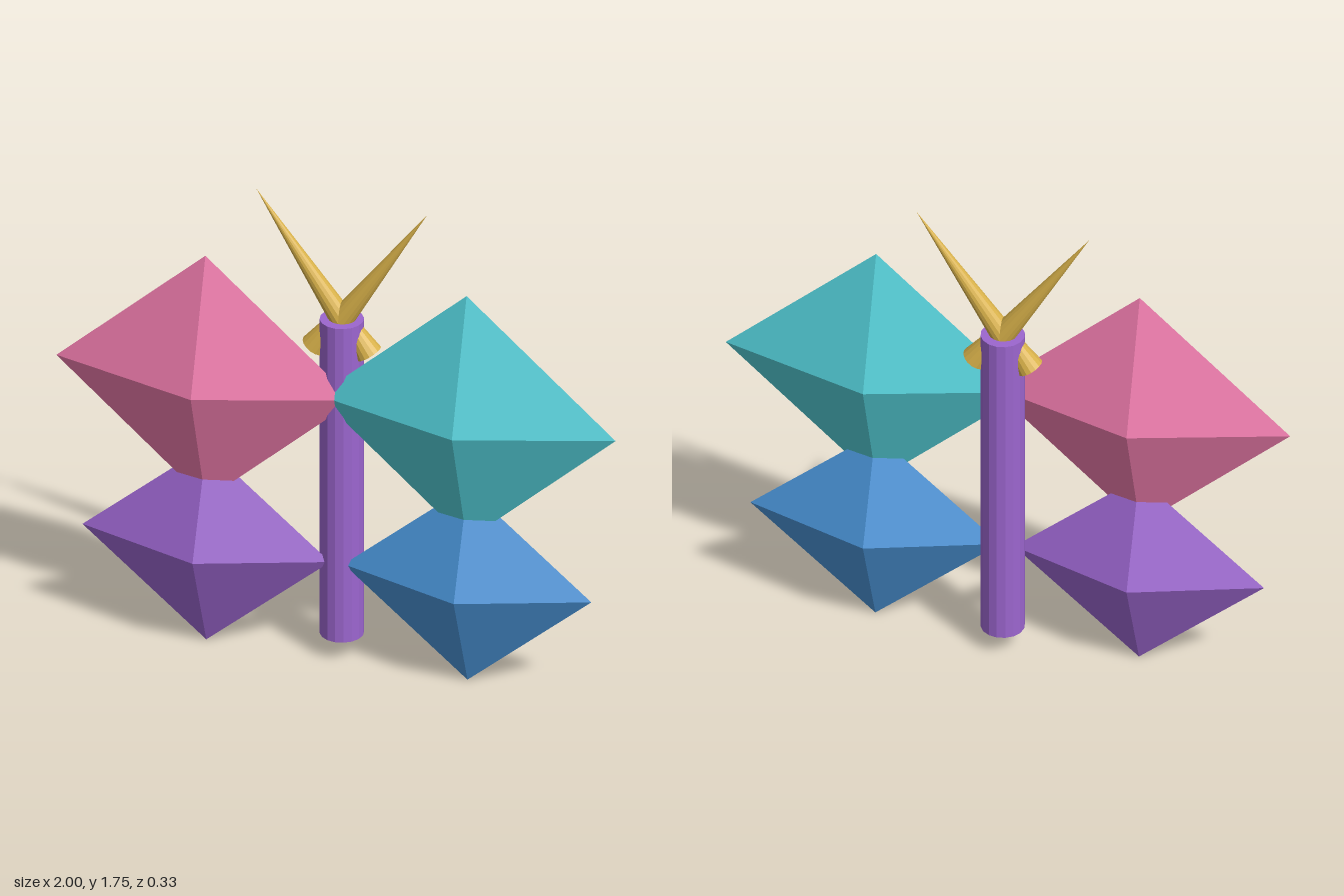
import * as THREE from 'three';

const material = (color) => new THREE.MeshStandardMaterial({ color, flatShading: true });
const BODY_Z = -0.065;

function addMesh(group, name, geometry, mat, x, y, z) {
  const mesh = new THREE.Mesh(geometry, mat);
  mesh.name = name;
  mesh.position.set(x, y, z);
  group.add(mesh);
  return mesh;
}

// Tapered rod between two points, radius r0 at the start and r1 at the end
function addRod(group, name, mat, start, end, r0, r1) {
  const dir = end.clone().sub(start);
  const mid = start.clone().add(end).multiplyScalar(0.5);
  const geometry = new THREE.CylinderGeometry(r1, r0, dir.length(), 16);
  const rod = addMesh(group, name, geometry, mat, mid.x, mid.y, mid.z);
  rod.quaternion.setFromUnitVectors(new THREE.Vector3(0, 1, 0), dir.normalize());
}

export function createModel() {
  const model = new THREE.Group();
  model.name = 'butterfly';
  const purple = material(0x9c66cf);
  const gold = material(0xd9b24a);

  // Upright body
  addMesh(model, 'body', new THREE.CylinderGeometry(0.076, 0.076, 1.22, 16), purple, 0, 0.69, BODY_Z);

  const sides = [
    { name: 'left', s: 1, upper: material(0x52ccd6), lower: material(0x4a94d8) },
    { name: 'right', s: -1, upper: material(0xec7aab), lower: purple },
  ];
  for (const { name, s, upper, lower } of sides) {
    // Wings: stretched octahedra
    const top = new THREE.OctahedronGeometry(1).scale(0.533, 0.475, 0.165);
    addMesh(model, `${name}UpperWing`, top, upper, s * 0.467, 1.025, 0);
    const bottom = new THREE.OctahedronGeometry(1).scale(0.443, 0.375, 0.155);
    addMesh(model, `${name}LowerWing`, bottom, lower, s * 0.467, 0.377, -0.01);

    // Antenna: long pointed cone
    addRod(model, `${name}Antenna`, gold,
      new THREE.Vector3(0, 1.3, BODY_Z), new THREE.Vector3(s * 0.306, 1.755, BODY_Z), 0.042, 0);

    // Short flared stub beside the head
    addRod(model, `${name}Stub`, gold,
      new THREE.Vector3(s * 0.04, 1.27, BODY_Z), new THREE.Vector3(s * 0.098, 1.18, BODY_Z), 0.03, 0.047);
  }
  return model;
}
